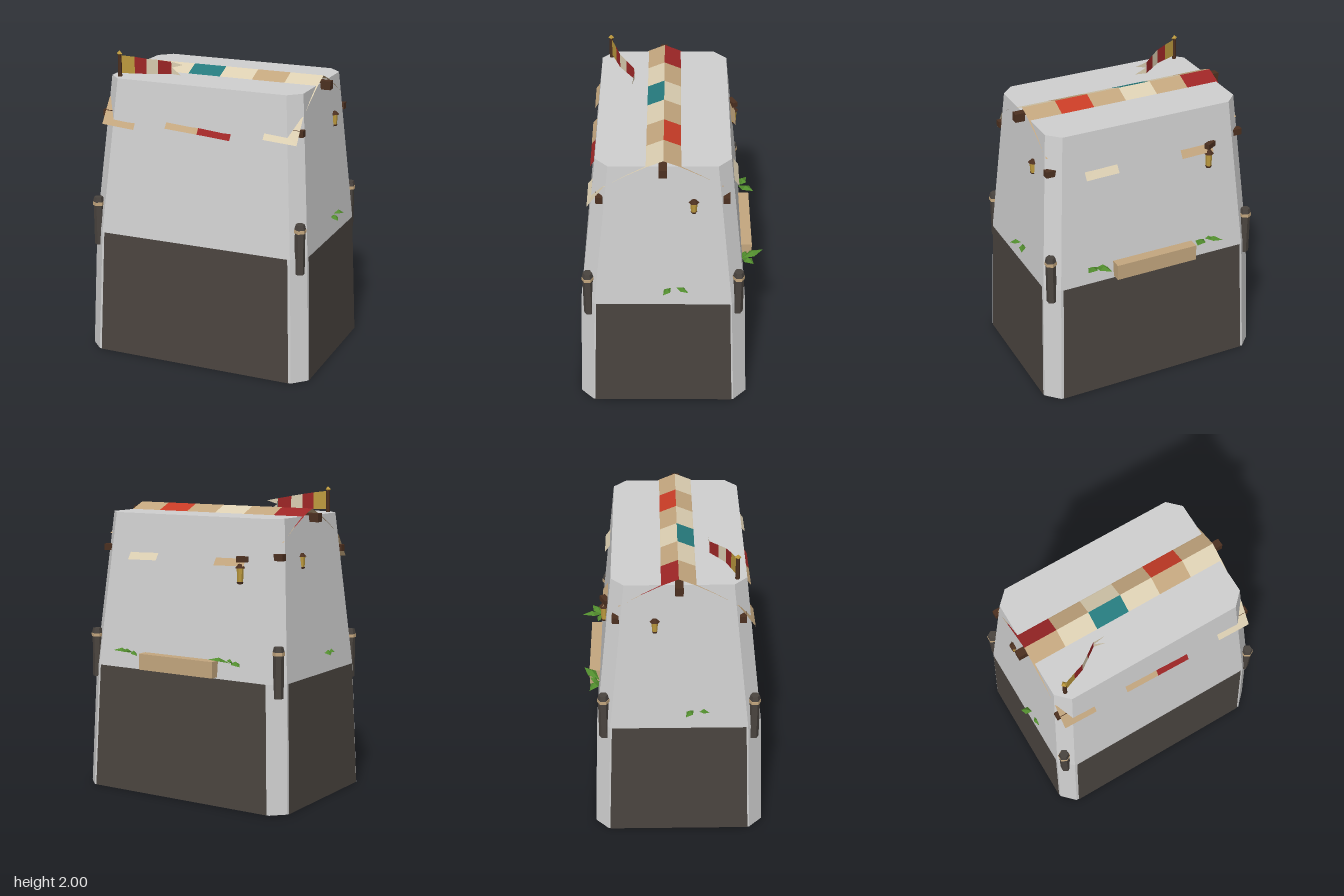
import * as THREE from 'three';

export function createModel() {
  const root = new THREE.Group();
  const mat = (name, color, open) => {
    const m = new THREE.MeshStandardMaterial({ color });
    m.name = name;
    if (open) m.side = THREE.DoubleSide;
    return m;
  };
  const stone = mat('pale stone', 0xcfcfcf);
  const dark = mat('dark stone', 0x4a443f);
  const tan = mat('tan cloth', 0xc3a67e, true);
  const cream = mat('cream cloth', 0xdccfb2, true);
  const red = mat('dark red cloth', 0x9e2626, true);
  const orange = mat('orange red cloth', 0xc83c26, true);
  const teal = mat('teal cloth', 0x267a7d, true);
  const wood = mat('brown wood', 0x4c3020);
  const gold = mat('gold', 0xbd9a3e, true);
  const green = mat('leaf green', 0x518c2d, true);

  const add = (name, geo, material, x = 0, y = 0, z = 0, parent = root) => {
    const g = geo.index ? geo.toNonIndexed() : geo;
    g.computeVertexNormals(); // faceted
    const m = new THREE.Mesh(g, material);
    m.name = name;
    m.position.set(x, y, z);
    parent.add(m);
    return m;
  };
  const tris = (list) => new THREE.BufferGeometry().setAttribute('position',
    new THREE.Float32BufferAttribute(list.flat(2), 3));
  const quad = (a, b, c, d) => [[a, b, c], [a, c, d]];
  const box = (w, h, d) => new THREE.BoxGeometry(w, h, d);
  const cyl = (rt, rb, h, n = 6) => new THREE.CylinderGeometry(rt, rb, h, n);

  // Tapered tower with chamfered corners, bent slightly at the plinth line
  const ring = (y, hx, z0, z1, c) => [
    [-hx + c, y, z1], [hx - c, y, z1], [hx, y, z1 - c], [hx, y, z0 + c],
    [hx - c, y, z0], [-hx + c, y, z0], [-hx, y, z0 + c], [-hx, y, z1 - c]];
  const rings = [ring(0, 0.77, -0.5, 0.6, 0.085), ring(0.82, 0.74, -0.47, 0.57, 0.085),
    ring(1.83, 0.655, -0.363, 0.457, 0.08)];
  const body = [];
  for (let r = 0; r < 2; r++) {
    for (let i = 0; i < 8; i++) {
      const j = (i + 1) % 8;
      body.push(...quad(rings[r][i], rings[r][j], rings[r + 1][j], rings[r + 1][i]));
    }
  }
  for (let i = 1; i < 7; i++) {
    body.push([rings[2][0], rings[2][i], rings[2][i + 1]]);
    body.push([rings[0][0], rings[0][i + 1], rings[0][i]]);
  }
  add('towerBody', tris(body), stone);

  // Dark plinth panels on the four broad faces
  const mix = (a, b, t) => a.map((v, k) => v + (b[k] - v) * t);
  [[0, 0, 1], [1, 0, 0], [0, 0, -1], [-1, 0, 0]].forEach((n, f) => {
    const i = f * 2, j = i + 1;
    const out = (p) => p.map((v, k) => v + n[k] * 0.004);
    const edge = (R, t) => out(mix(R[i], R[j], t));
    add('plinthPanel', tris(quad(edge(rings[0], 0.012), edge(rings[0], 0.988),
      edge(rings[1], 0.988), edge(rings[1], 0.012))), dark);
  });

  // Patchwork cloth roof running through the tower: six strips on each slope
  const ridgeZ = 0.045, segW = 0.2217;
  const profile = [[0, 1.875], [0.1, 1.833], [0.225, 1.768], [0.36, 1.685]];
  const slopes = [
    { s: 1, top: [tan, cream, teal, cream, tan, cream], low: [tan, tan, tan, red, tan, cream],
      eave: [[1.535, 1.518], null, [1.55, 1.535], [1.535, 1.518], null, [1.55, 1.535]] },
    { s: -1, top: [red, tan, cream, tan, orange, tan], low: [tan, tan, tan, tan, cream, tan],
      eave: [null, [1.535, 1.53], null, null, [1.535, 1.53], null] }];
  for (const { s, top, low, eave } of slopes) {
    for (let i = 0; i < 6; i++) {
      const x0 = -0.665 + i * segW, x1 = x0 + segW;
      const rows = profile.map(([d, y]) => [d, y, y]);
      if (eave[i]) rows.push([0.467, ...eave[i]]);
      const strip = (from, to) => {
        const t = [];
        for (let k = from; k < to; k++) {
          const [d0, l0, r0] = rows[k], [d1, l1, r1] = rows[k + 1];
          t.push(...quad([x0, l0, ridgeZ + s * d0], [x0, l1, ridgeZ + s * d1],
            [x1, r1, ridgeZ + s * d1], [x1, r0, ridgeZ + s * d0]).map((q) => (s > 0 ? q : q.reverse())));
        }
        return tris(t);
      };
      add('roofClothUpper', strip(0, 2), top[i]);
      add('roofClothLower', strip(2, rows.length - 1), low[i]);
    }
  }

  // Ridge beam and purlins whose ends stick out
  add('ridgeBeam', box(1.44, 0.055, 0.05), wood, 0, 1.818, 0.048);
  for (const z of [0.435, -0.337]) add('purlin', box(1.37, 0.042, 0.042), wood, 0, 1.595, z);

  // Corner posts with a tan band and dark cap
  for (const x of [-0.702, 0.702]) {
    for (const [z, lift] of [[0.523, 0], [-0.425, 0.012]]) {
      const g = new THREE.Group();
      g.name = 'cornerPost';
      g.position.set(x, lift, z);
      root.add(g);
      add('postShaft', cyl(0.033, 0.033, 0.27), dark, 0, 0.855, 0, g);
      add('postBand', cyl(0.039, 0.039, 0.022), tan, 0, 1.0, 0, g);
      add('postCap', cyl(0.029, 0.037, 0.033), dark, 0, 1.027, 0, g);
    }
  }

  // Flag pole, finial and striped swallowtail flag
  add('flagPole', cyl(0.012, 0.014, 0.18), wood, -0.588, 1.89, 0.397);
  add('poleFinial', new THREE.OctahedronGeometry(0.02), gold, -0.588, 1.978, 0.397);
  const path = [[-0.58, 0.393, 1.967, 1.85], [-0.5, 0.362, 1.957, 1.849], [-0.43, 0.335, 1.945, 1.846],
    [-0.37, 0.292, 1.933, 1.843], [-0.3, 0.24, 1.918, 1.838]];
  [gold, red, cream, red].forEach((m, i) => {
    const [xa, za, ta, ba] = path[i], [xb, zb, tb, bb] = path[i + 1];
    add('flagStripe', tris(quad([xa, ba, za], [xb, bb, zb], [xb, tb, zb], [xa, ta, za])), m);
  });
  const notch = [-0.295, 1.88, 0.24];
  add('flagTail', tris([[[-0.3, 1.918, 0.24], notch, [-0.22, 1.902, 0.235]],
    [notch, [-0.3, 1.838, 0.24], [-0.225, 1.838, 0.255]]]), cream);

  // Lanterns: one hanging at the back, one on each side wall
  const lantern = (name, x, y, z, r, h) => {
    const g = new THREE.Group();
    g.name = name;
    g.position.set(x, y, z);
    root.add(g);
    add('lanternGlass', cyl(r * 0.8, r * 0.65, h), gold, 0, 0, 0, g);
    add('lanternRoof', cyl(r * 0.4, r * 1.15, h * 0.3), wood, 0, h * 0.62, 0, g);
    add('lanternBase', cyl(r * 0.8, r * 0.6, h * 0.15), wood, 0, -h * 0.55, 0, g);
  };
  lantern('backLantern', -0.415, 1.48, -0.413, 0.028, 0.09);
  const arm = add('lanternArm', box(0.075, 0.035, 0.035), wood, -0.425, 1.578, -0.405);
  arm.rotation.y = 0.5;
  lantern('rightLantern', -0.675, 1.55, -0.1, 0.028, 0.07);
  lantern('leftLantern', 0.68, 1.55, -0.138, 0.028, 0.07);

  // Planter box on the back wall
  add('planterBox', box(0.565, 0.105, 0.075), tan, 0.003, 0.882, -0.49);

  // Folded leaves: base, direction to the tip, half width
  const leaf = (base, dir, w) => {
    const d = new THREE.Vector3(...dir);
    const side = new THREE.Vector3(-d.z, 0, d.x).normalize().multiplyScalar(w);
    const b = new THREE.Vector3(...base);
    const tip = b.clone().add(d), mid = b.clone().addScaledVector(d, 0.5);
    mid.y += 0.025;
    const l = mid.clone().add(side), r = mid.clone().sub(side);
    l.y -= 0.02;
    r.y -= 0.02;
    const [B, T, M, L, R] = [b, tip, mid, l, r].map((v) => v.toArray());
    add('leaf', tris([[B, M, L], [L, M, T], [B, R, M], [R, T, M]]), green);
  };
  leaf([-0.38, 0.925, -0.46], [-0.1, -0.005, -0.06], 0.03);
  leaf([-0.37, 0.925, -0.46], [0.1, 0.03, -0.1], 0.035);
  leaf([-0.4, 0.92, -0.46], [0.02, 0.03, -0.06], 0.025);
  leaf([0.41, 0.92, -0.455], [-0.055, 0.03, -0.14], 0.033);
  leaf([0.4, 0.92, -0.46], [0.09, 0.02, -0.07], 0.033);
  leaf([0.4, 0.92, -0.46], [-0.07, -0.01, -0.03], 0.022);
  leaf([-0.725, 0.945, 0.14], [-0.06, -0.01, -0.05], 0.025);
  leaf([-0.725, 0.935, 0.17], [-0.01, -0.005, 0.07], 0.02);
  leaf([0.725, 0.945, -0.03], [0.045, -0.01, -0.08], 0.022);
  leaf([0.725, 0.94, 0.0], [0.06, -0.01, 0.05], 0.025);
  return root;
}
